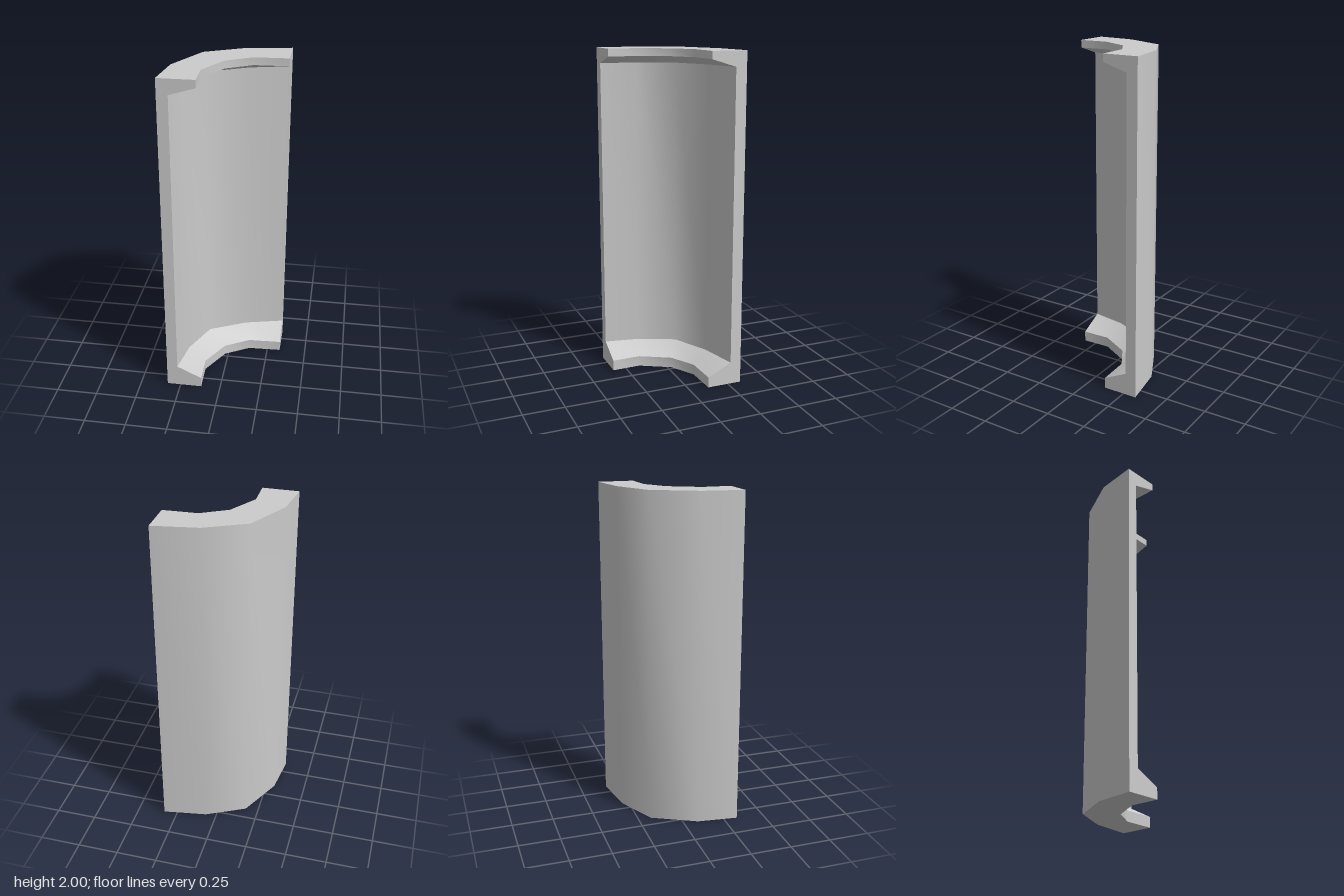
import * as THREE from 'three';

// Plan outlines [x, z], from the front left end round to the back right end
const outer = [[-0.333, 0.333], [-0.303, 0.09], [-0.17, -0.172], [0.066, -0.29], [0.333, -0.333]];
const cavity = [[-0.268, 0.333], [-0.23, 0.12], [-0.132, -0.095], [0.094, -0.207], [0.333, -0.266]];
const lip = [[-0.118, 0.333], [-0.122, 0.157], [-0.021, -0.023], [0.13, -0.111], [0.333, -0.119]];

// Wall section: each corner follows one outline at a fixed height
const section = [
  [outer, 0], [lip, 0], [lip, 0.065], [cavity, 0.137],
  [cavity, 1.91], [lip, 1.955], [lip, 2], [outer, 2],
];
const corner = ([path, y], i) => [path[i][0], y, path[i][1]];

function makeMesh(name, points, index) {
  const geometry = new THREE.BufferGeometry();
  geometry.setAttribute('position', new THREE.Float32BufferAttribute(points.flat(), 3));
  geometry.setIndex(index);
  geometry.computeVertexNormals();
  const mesh = new THREE.Mesh(geometry, new THREE.MeshStandardMaterial({ color: 0xcccccc }));
  mesh.name = name;
  return mesh;
}

// One surface swept round the curve; smooth along it, sharp against its neighbours
function sweep(name, a, b) {
  const points = [], index = [];
  for (let i = 0; i < outer.length; i++) {
    points.push(corner(a, i), corner(b, i));
    if (i < outer.length - 1) {
      const k = 2 * i;
      index.push(k, k + 2, k + 1, k + 1, k + 2, k + 3);
    }
  }
  return makeMesh(name, points, index);
}

// Flat C-shaped end of the wall
function endFace(name, i, flip) {
  const contour = section.map(([path, y]) =>
    new THREE.Vector2(Math.hypot(path[i][0] - outer[i][0], path[i][1] - outer[i][1]), y));
  const faces = THREE.ShapeUtils.triangulateShape(contour, []);
  const index = faces.flatMap(([a, b, c]) => (flip ? [a, c, b] : [a, b, c]));
  return makeMesh(name, section.map((s) => corner(s, i)), index);
}

export function createModel() {
  const group = new THREE.Group();
  group.name = 'curvedWallShell';
  const names = ['bottomFace', 'lowerLip', 'lowerSlope', 'innerWall',
    'upperSlope', 'upperLip', 'topFace', 'outerWall'];
  names.forEach((name, j) =>
    group.add(sweep(name, section[j], section[(j + 1) % section.length])));
  group.add(endFace('frontEnd', 0, false));
  group.add(endFace('sideEnd', outer.length - 1, true));
  return group;
}
